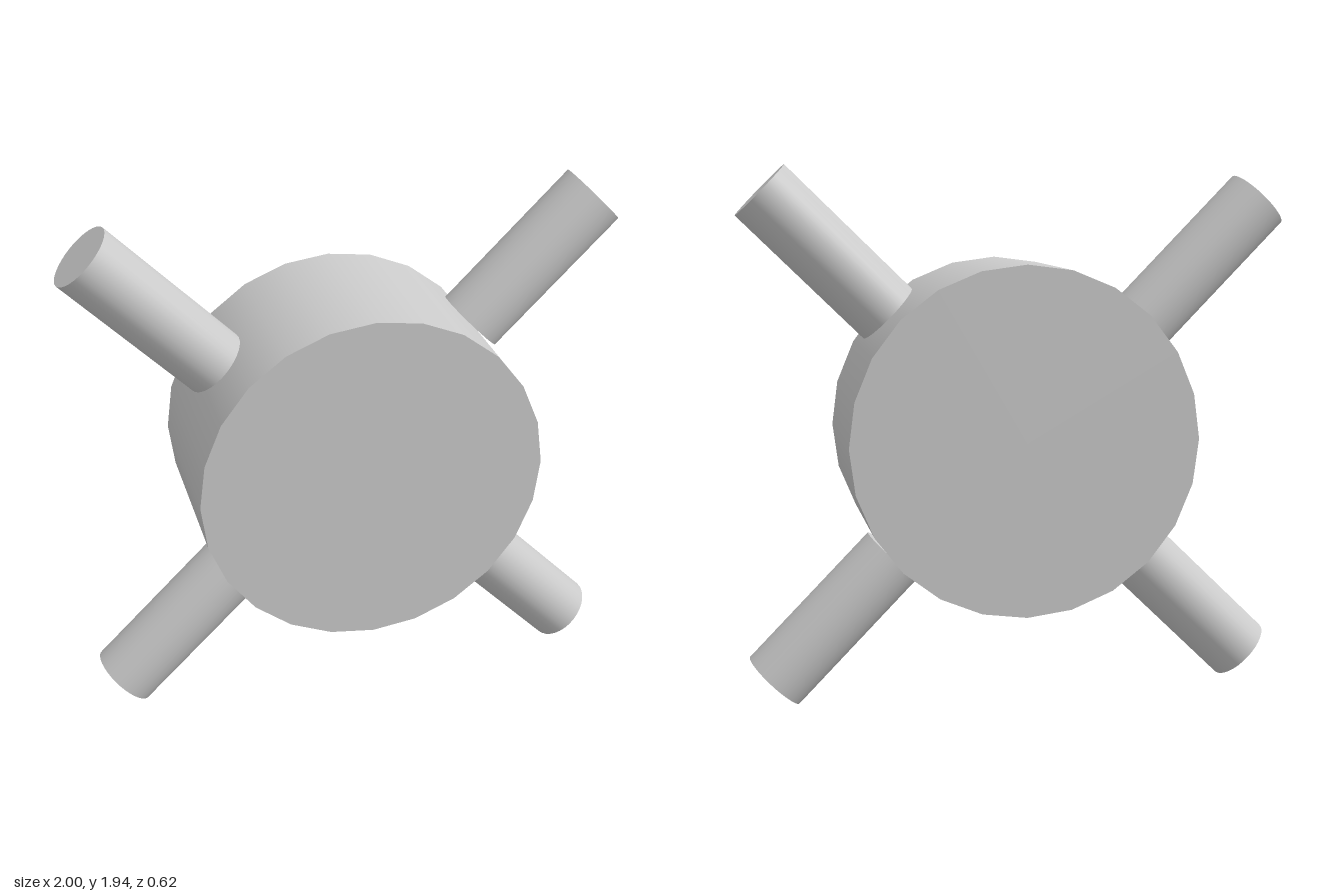
import * as THREE from 'three';

const material = new THREE.MeshStandardMaterial({ color: 0xcccccc });

// Solid rod between two points [x, y] in the z = 0 plane
function rod(name, from, to, radius) {
  const a = new THREE.Vector3(from[0], from[1], 0);
  const b = new THREE.Vector3(to[0], to[1], 0);
  const mesh = new THREE.Mesh(new THREE.CylinderGeometry(radius, radius, a.distanceTo(b), 32), material);
  mesh.position.copy(a).add(b).multiplyScalar(0.5);
  mesh.quaternion.setFromUnitVectors(new THREE.Vector3(0, 1, 0), b.sub(a).normalize());
  mesh.name = name;
  return mesh;
}

export function createModel() {
  const group = new THREE.Group();
  group.name = 'spokedDrum';

  // Thick drum with its axis along z
  const drum = new THREE.Mesh(new THREE.CylinderGeometry(0.623, 0.623, 0.624, 24), material);
  drum.rotation.x = Math.PI / 2;
  drum.position.set(0.018, 0.984, 0);
  drum.name = 'drum';
  group.add(drum);

  // Four diagonal spokes, each placed slightly unevenly around the rim
  const spokes = [
    ['upperLeftSpoke', [0.465, 1.423], [0.908, 1.86]],
    ['upperRightSpoke', [-0.475, 1.378], [-0.912, 1.823]],
    ['lowerRightSpoke', [-0.43, 0.545], [-0.873, 0.112]],
    ['lowerLeftSpoke', [0.457, 0.537], [0.893, 0.092]],
  ];
  for (const [name, inner, outer] of spokes) group.add(rod(name, inner, outer, 0.124));

  return group;
}
